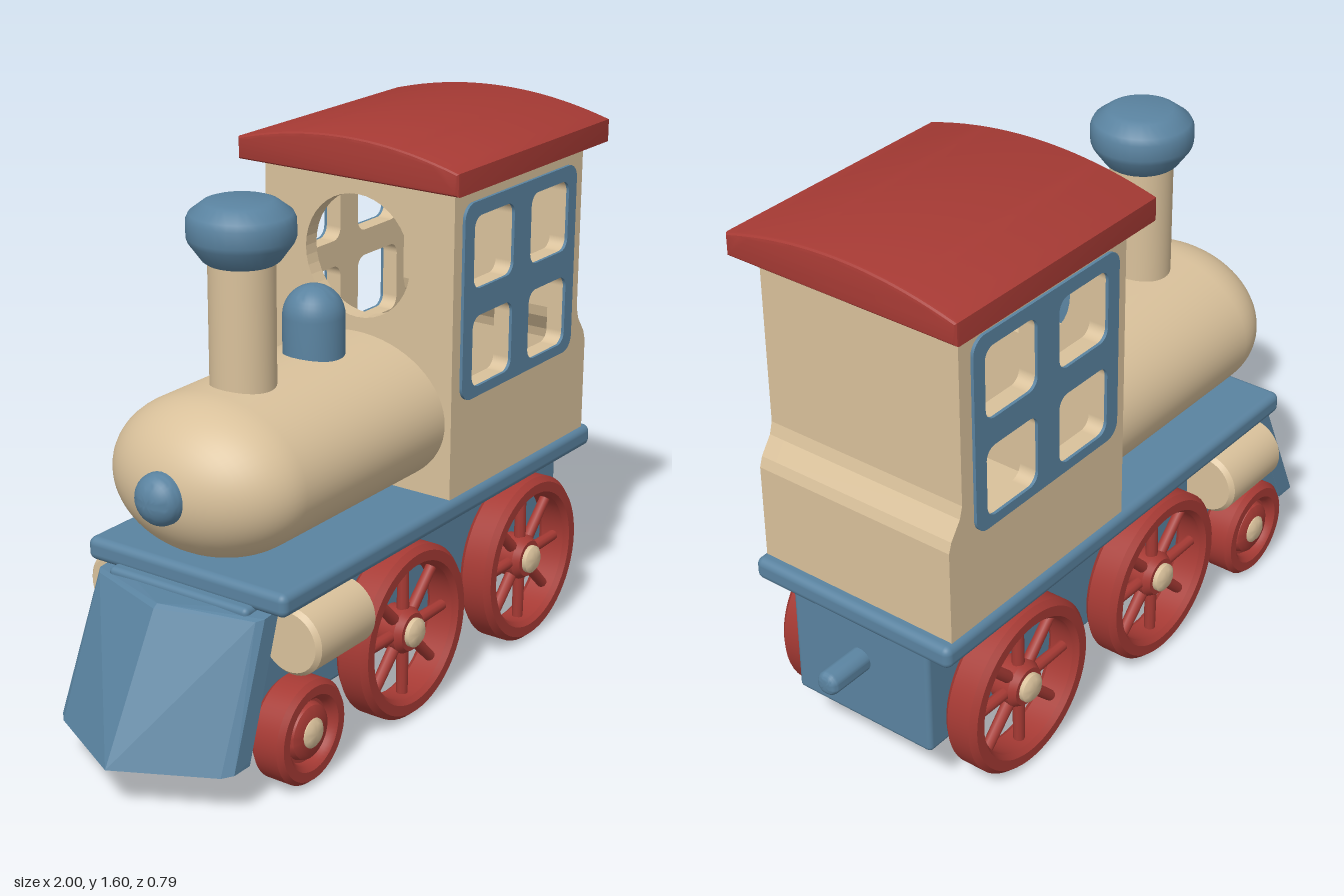
import * as THREE from 'three';
import { toCreasedNormals } from 'three/addons/utils/BufferGeometryUtils.js';
import { RoundedBoxGeometry } from 'three/addons/geometries/RoundedBoxGeometry.js';
import { ConvexGeometry } from 'three/addons/geometries/ConvexGeometry.js';

const material = (name, color) => {
  const m = new THREE.MeshStandardMaterial({ color });
  m.name = name;
  return m;
};

export function createModel() {
  const cream = material('cream', 0xd9c19b);
  const blue = material('blue', 0x5a83a0);
  const red = material('red', 0xa63a34);
  const grey = material('grey', 0xb2b2b0);
  const model = new THREE.Group();
  model.name = 'toyTrain';

  const add = (parent, name, geometry, mat, x = 0, y = 0, z = 0) => {
    const mesh = new THREE.Mesh(geometry, mat);
    mesh.name = name;
    mesh.position.set(x, y, z);
    parent.add(mesh);
    return mesh;
  };
  // Turned part; profile runs from the bottom, round the outside, to the top
  const lathe = (profile, segments = 48, crease = 0.6) => toCreasedNormals(
    new THREE.LatheGeometry(profile.map(([r, y]) => new THREE.Vector2(r, y)), segments), crease);
  const arc = (cx, cy, rx, ry, from, to, n = 10) => Array.from({ length: n + 1 }, (_, i) => {
    const a = from + (to - from) * i / n;
    return [Math.max(0, cx + rx * Math.cos(a)), cy + ry * Math.sin(a)];
  });
  const polygon = (points) => new THREE.Shape(points.map(([x, y]) => new THREE.Vector2(x, y)));
  const extrude = (shape, depth) => new THREE.ExtrudeGeometry(shape, { depth, bevelEnabled: false, curveSegments: 20 });
  const roundedRect = (path, x0, y0, x1, y1, r) => {
    path.absarc(x1 - r, y0 + r, r, -Math.PI / 2, 0);
    path.absarc(x1 - r, y1 - r, r, 0, Math.PI / 2);
    path.absarc(x0 + r, y1 - r, r, Math.PI / 2, Math.PI);
    path.absarc(x0 + r, y0 + r, r, Math.PI, Math.PI * 1.5);
    path.closePath();
    return path;
  };
  const cutPanes = (shape) => {
    for (const x of [0.208, 0.505]) {
      for (const y of [0.9, 1.187]) {
        shape.holes.push(roundedRect(new THREE.Path(), x, y, x + 0.207, y + 0.208, 0.035));
      }
    }
    return shape;
  };

  // Chassis and deck
  add(model, 'chassis', new RoundedBoxGeometry(1.555, 0.36, 0.47, 3, 0.015), blue, 0.0775, 0.36, 0);
  add(model, 'deck', new RoundedBoxGeometry(1.56, 0.067, 0.67, 4, 0.022), blue, 0.11, 0.558, 0);

  // Wedge-shaped track guard
  const guard = [[-1, 0.135, 0], [-0.985, 0.13, 0], [-0.79, 0.515, 0], [-0.775, 0.525, 0]];
  for (const s of [-1, 1]) {
    guard.push([-0.86, 0.135, s * 0.27], [-0.835, 0.14, s * 0.295], [-0.77, 0.14, s * 0.295], [-0.765, 0.155, s * 0.295],
      [-0.7, 0.515, s * 0.265], [-0.68, 0.52, s * 0.28], [-0.62, 0.525, s * 0.28]);
  }
  add(model, 'trackGuard', new ConvexGeometry(guard.map((p) => new THREE.Vector3(...p))), blue);

  // Oval boiler with a domed nose and a knob
  const boiler = add(model, 'boiler',
    lathe([[0, -0.14], [1, -0.14], ...arc(0, 0.52, 1, 0.235, 0, Math.PI / 2, 16)], 64), cream, 0, 0.81, 0);
  boiler.rotation.z = Math.PI / 2;
  boiler.scale.set(0.22, 1, 0.3);
  const knob = add(model, 'noseKnob',
    lathe([[0, 0.68], [0.072, 0.68], ...arc(0, 0.752, 0.072, 0.056, 0, Math.PI / 2)], 32), blue, 0, 0.81, 0);
  knob.rotation.z = Math.PI / 2;

  // Chimney and steam dome
  add(model, 'chimney', new THREE.CylinderGeometry(0.09, 0.09, 0.42, 40), cream, -0.4, 1.17, 0);
  add(model, 'chimneyCap', lathe([[0, 1.36], [0.095, 1.36], [0.105, 1.367], [0.14, 1.415], [0.145, 1.43],
    [0.145, 1.475], [0.137, 1.492], [0.1, 1.52], [0.085, 1.525], [0, 1.525]], 32), blue, -0.4, 0, 0);
  add(model, 'steamDome', lathe([[0, 0.98], [0.087, 0.98], ...arc(0, 1.133, 0.087, 0.087, 0, Math.PI / 2)], 40),
    blue, -0.085, 0, 0);

  // Cab walls, with window openings cut through
  const cab = new THREE.Group();
  cab.name = 'cab';
  model.add(cab);
  const backLine = [[0.855, 0.58], [0.855, 0.87], [0.845, 0.9], [0.81, 0.95], [0.8, 0.985], [0.8, 1.5]];
  const sideWall = extrude(cutPanes(polygon([[0.12, 0.58], ...backLine, [0.12, 1.5]])), 0.05);
  const frame = extrude(cutPanes(roundedRect(new THREE.Shape(), 0.16, 0.87, 0.755, 1.437, 0.045)), 0.009);
  for (const s of [-1, 1]) {
    add(cab, 'sideWall', sideWall, cream, 0, 0, s * 0.295 - 0.025);
    add(cab, 'windowFrame', frame, blue, 0, 0, s * 0.3245 - 0.0045);
  }
  const innerLine = backLine.map(([x, y]) => [x - 0.05, y]).reverse();
  add(cab, 'backWall', extrude(polygon([...backLine, ...innerLine]), 0.54), cream, 0, 0, -0.27);
  const front = polygon([[-0.27, 0.58], [0.27, 0.58], [0.27, 1.5], [-0.27, 1.5]]);
  front.holes.push(new THREE.Path().absarc(0, 1.25, 0.178, 0, Math.PI * 2));
  add(cab, 'frontWall', extrude(front, 0.05), cream, 0.12).rotation.y = Math.PI / 2;
  add(cab, 'cabFloor', new THREE.BoxGeometry(0.66, 0.03, 0.56), cream, 0.48, 0.605, 0);

  // Arched roof
  const roofArc = Array.from({ length: 21 }, (_, i) => {
    const t = 1 - i / 10;
    return [t * 0.358, 1.592 - 0.05 * t * t];
  });
  const roof = new THREE.ExtrudeGeometry(polygon([[-0.358, 1.498], [0.358, 1.498], ...roofArc]),
    { depth: 0.786, bevelThickness: 0.012, bevelSize: 0.012, bevelSegments: 3 });
  add(model, 'roof', toCreasedNormals(roof, 0.5), red, 0.067).rotation.y = Math.PI / 2;

  // Wheels are turned about y, then faced outwards
  const tyre = lathe([[0.198, 0.015], [0.21, 0], [0.24, 0], [0.255, 0.016], [0.255, 0.088], [0.24, 0.105],
    [0.21, 0.105], [0.198, 0.09], [0.198, 0.015]], 56);
  const hub = lathe([[0, 0.01], [0.065, 0.01], [0.068, 0.07], [0.055, 0.09], [0, 0.09]], 32);
  const cap = lathe([[0, 0.08], [0.042, 0.08], [0.042, 0.103], [0.03, 0.112], [0, 0.114]], 24);
  const disc = lathe([[0, 0], [0.135, 0], [0.148, 0.014], [0.148, 0.09], [0.135, 0.105], [0.108, 0.105], [0.095, 0.093],
    [0.09, 0.075], [0.082, 0.075], [0.076, 0.092], [0.062, 0.1], [0, 0.1]], 48);
  const spoke = new THREE.CylinderGeometry(0.016, 0.018, 0.16, 10);

  const makeWheel = (name, x, y, s) => {
    const wheel = new THREE.Group();
    wheel.name = name;
    wheel.position.set(x, y, s * 0.24);
    wheel.rotation.x = s * Math.PI / 2;
    model.add(wheel);
    add(wheel, 'hubCap', cap, cream);
    return wheel;
  };
  for (const s of [-1, 1]) {
    for (const x of [-0.07, 0.553]) {
      const wheel = makeWheel('drivingWheel', x, 0.26, s);
      add(wheel, 'tyre', tyre, red);
      add(wheel, 'hub', hub, red);
      for (let i = 0; i < 8; i++) {
        const a = i * Math.PI / 4;
        const bar = add(wheel, 'spoke', spoke, red, 0.13 * Math.cos(a), 0.055, 0.13 * Math.sin(a));
        bar.rotation.set(Math.PI / 2, 0, Math.PI / 2 - a);
        bar.quaternion.setFromUnitVectors(new THREE.Vector3(0, 1, 0), new THREE.Vector3(Math.cos(a), 0, Math.sin(a)));
      }
    }
    add(makeWheel('leadingWheel', -0.555, 0.157, s), 'wheelDisc', disc, red);

    // Side cylinder
    const piston = add(model, 'sideCylinder', lathe([[0, -0.133], [0.085, -0.133], [0.097, -0.12], [0.097, 0.12],
      [0.085, 0.133], [0, 0.133]], 40), cream, -0.467, 0.427, s * 0.297);
    piston.rotation.z = Math.PI / 2;
  }
  add(model, 'leadingAxle', new THREE.CylinderGeometry(0.07, 0.07, 0.49, 32), grey, -0.555, 0.157, 0)
    .rotation.x = Math.PI / 2;

  // Rear coupling peg
  add(model, 'couplingPeg', lathe([[0, 0.83], [0.035, 0.83], ...arc(0.015, 0.977, 0.02, 0.02, 0, Math.PI / 2, 5), [0, 0.997]], 24),
    blue, 0, 0.387, 0).rotation.z = -Math.PI / 2;

  return model;
}
